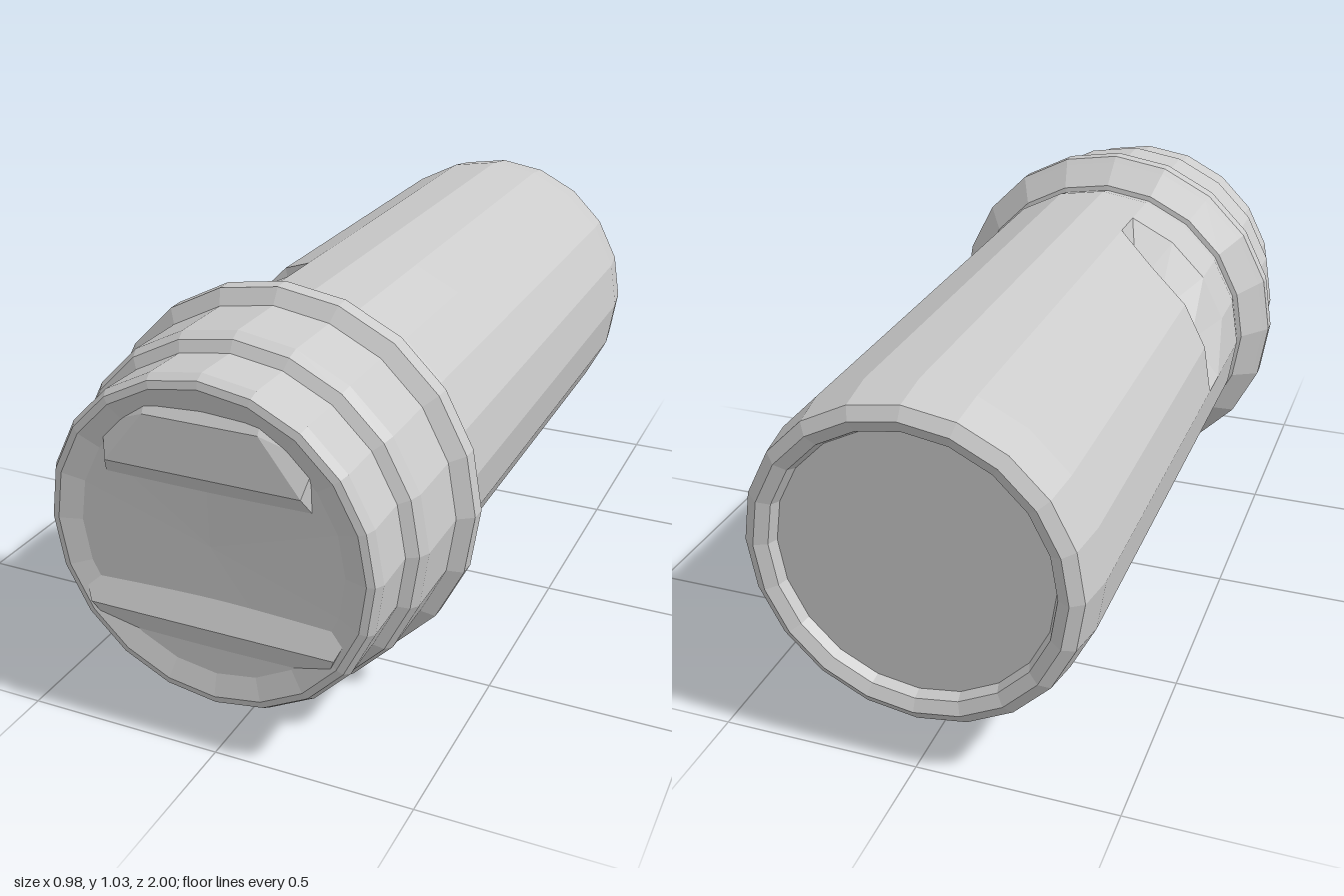
import * as THREE from 'three';
import { ConvexGeometry } from 'three/addons/geometries/ConvexGeometry.js';

const CENTRE_Y = 0.535;
const SIDES = 20;
const material = new THREE.MeshStandardMaterial({
  color: 0xcccccc, flatShading: true, side: THREE.DoubleSide,
});

// Turned part lying along z: profile is a list of [radius, z], back to front.
function turned(name, profile) {
  const points = profile.map(([r, z]) => new THREE.Vector2(r, z));
  const geometry = new THREE.LatheGeometry(points, SIDES).rotateX(Math.PI / 2);
  const mesh = new THREE.Mesh(geometry, material);
  mesh.name = name;
  mesh.position.y = CENTRE_Y;
  return mesh;
}

// Faceted solid around a set of corners mirrored across x.
function mirroredHull(name, corners) {
  const points = corners.flatMap(([x, y, z]) => [
    new THREE.Vector3(x, y, z), new THREE.Vector3(-x, y, z),
  ]);
  const mesh = new THREE.Mesh(new ConvexGeometry(points), material);
  mesh.name = name;
  return mesh;
}

// Push a curved gash into the upper right side of the barrel.
function cutGash(mesh) {
  const p = mesh.geometry.attributes.position;
  for (let i = 0; i < p.count; i++) {
    const x = p.getX(i), y = p.getY(i), z = p.getZ(i);
    const angle = THREE.MathUtils.radToDeg(Math.atan2(y, -x));
    if (angle < 5 || angle > 58 || z < 0.15 || z > 0.27) continue;
    const depth = angle > 30 ? 0.72 : 0.86;
    p.setXYZ(i, x * depth, y * depth, z - 0.03 * Math.sin(angle * Math.PI / 60));
  }
}

export function createModel() {
  const group = new THREE.Group();
  group.name = 'cylinderWithCollar';

  // Long barrel with a chamfered rim and a shallow recess at the back
  const barrel = turned('barrel', [
    [0, -0.96], [0.335, -0.96], [0.345, -0.985], [0.375, -1], [0.405, -0.98],
    [0.421, -0.88], [0.421, 0.1], [0.421, 0.2], [0.421, 0.31],
    [0.421, 0.45], [0.405, 0.52],
  ]);
  cutGash(barrel);
  group.add(barrel);

  // Flared flange and the stepped collar in front of it
  group.add(turned('flange', [
    [0.40, 0.49], [0.425, 0.495], [0.478, 0.56], [0.491, 0.575],
    [0.490, 0.615], [0.453, 0.64],
  ]));
  group.add(turned('collar', [
    [0.453, 0.64], [0.453, 0.805], [0.44, 0.83], [0.413, 0.845],
  ]));

  // End cap with a slightly sunken face
  group.add(turned('endCap', [
    [0.413, 0.845], [0.415, 0.965], [0.403, 0.985], [0.385, 0.99],
    [0.33, 0.975], [0, 0.97],
  ]));

  // Two wedge-shaped ridges across the end cap
  group.add(mirroredHull('upperRidge', [
    [0.26, 0.79, 0.965], [0.26, 0.66, 0.965], [0.14, 0.88, 0.965],
    [0.24, 0.715, 0.998], [0.14, 0.84, 0.99],
  ]));
  group.add(mirroredHull('lowerRidge', [
    [0.35, 0.42, 0.965], [0.27, 0.25, 0.965], [0.31, 0.335, 0.999],
  ]));

  // Lug beneath the flange, with a knob at each end of its back edge
  group.add(mirroredHull('lug', [
    [0, 0, 0.575], [0, 0.005, 0.51], [0.14, 0.022, 0.575], [0.14, 0.022, 0.51],
    [0.16, 0.065, 0.59], [0.15, 0.085, 0.51], [0.09, 0.085, 0.63], [0, 0.13, 0.51],
  ]));
  for (const side of [-1, 1]) {
    const knob = new THREE.Mesh(new THREE.DodecahedronGeometry(0.036), material);
    knob.name = side > 0 ? 'leftLugKnob' : 'rightLugKnob';
    knob.position.set(side * 0.115, 0.055, 0.51);
    group.add(knob);
  }
  return group;
}
